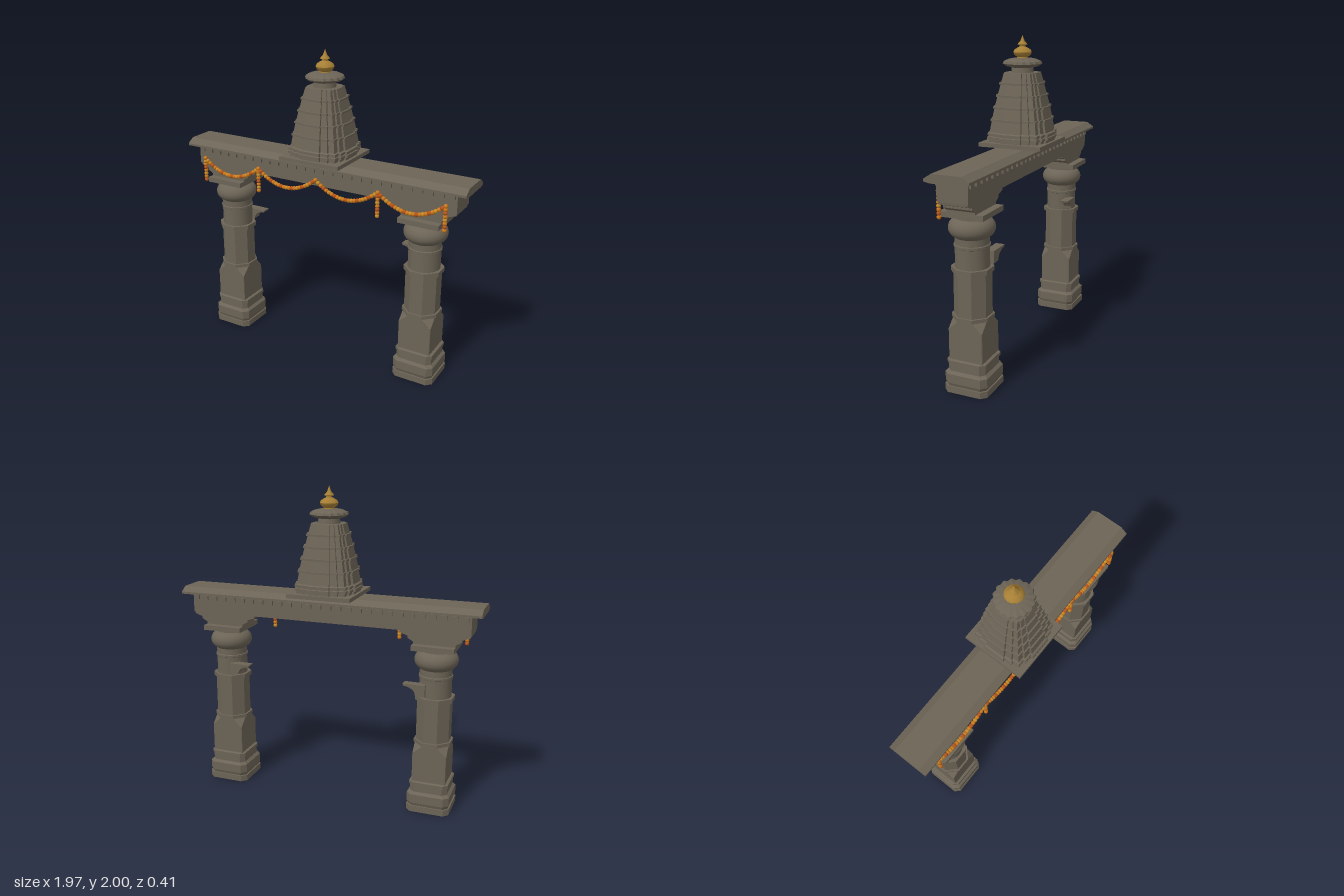
import * as THREE from 'three';
import { mergeGeometries, toCreasedNormals } from 'three/addons/utils/BufferGeometryUtils.js';

const mat = (name, color) => {
  const m = new THREE.MeshStandardMaterial({ color });
  m.name = name;
  return m;
};

// Stack of horizontal sections: each section is { y, pts: [[x, z], ...] }
function loft(sections) {
  const n = sections[0].pts.length, pos = [], idx = [];
  for (const s of sections) for (const [x, z] of s.pts) pos.push(x, s.y, z);
  for (let k = 0; k < sections.length - 1; k++)
    for (let i = 0; i < n; i++) {
      const a = k * n + i, b = k * n + (i + 1) % n;
      idx.push(a, a + n, b, b, a + n, b + n);
    }
  const top = (sections.length - 1) * n, c = pos.length / 3;
  pos.push(0, sections[0].y, 0, 0, sections.at(-1).y, 0);
  for (let i = 0; i < n; i++) {
    const j = (i + 1) % n;
    idx.push(c, i, j, c + 1, top + j, top + i);
  }
  const g = new THREE.BufferGeometry();
  g.setAttribute('position', new THREE.Float32BufferAttribute(pos, 3));
  g.setIndex(idx);
  const flat = g.toNonIndexed();
  flat.computeVertexNormals();
  return flat;
}

// Repeat one side of a plan four times about the centre
function fourSides(side, s) {
  const out = [];
  for (let k = 0; k < 4; k++)
    for (let [x, z] of side) {
      for (let r = 0; r < k; r++) [x, z] = [-z, x];
      out.push([x * s, z * s]);
    }
  return out;
}
const chamfered = (h, c) => fourSides([[h, c - h], [h, h - c]], 1);
const octagon = (h) => chamfered(h, h * 0.586);

const lathe = (pts, seg = 32) => toCreasedNormals(
  new THREE.LatheGeometry(pts.map(([r, y]) => new THREE.Vector2(r, y)), seg), 0.7);

// Closed outline in x, y extruded from z0 to z1
function prism(pts, z0, z1) {
  const shape = new THREE.Shape(pts.map(([x, y]) => new THREE.Vector2(x, y)));
  return new THREE.ExtrudeGeometry(shape, { depth: z1 - z0, bevelEnabled: false }).translate(0, 0, z0);
}

export function createModel() {
  const stone = mat('stone', 0x6c6456);
  const gold = mat('gold', 0xa67f35);
  const flowers = [mat('orange flowers', 0xd07818), mat('yellow flowers', 0xc88a28), mat('rust flowers', 0xb9541c)];
  const model = new THREE.Group();
  model.name = 'templeGateway';
  const add = (parent, name, geo, m = stone) => {
    const mesh = new THREE.Mesh(geo, m);
    mesh.name = name;
    parent.add(mesh);
    return mesh;
  };
  const box = (w, h, d, x, y, z) => new THREE.BoxGeometry(w, h, d).translate(x, y, z);

  // Pillars
  for (const side of [-1, 1]) {
    const p = new THREE.Group();
    p.name = side > 0 ? 'leftPillar' : 'rightPillar';
    p.position.x = side * 0.7;
    model.add(p);
    add(p, 'pedestal', loft([
      [0, 0.137], [0.04, 0.137], [0.04, 0.128], [0.06, 0.135], [0.115, 0.135],
      [0.13, 0.118], [0.175, 0.118], [0.175, 0.124], [0.195, 0.124], [0.2, 0.112],
    ].map(([y, h]) => ({ y, pts: chamfered(h, h * 0.23) }))));
    // Square block broaching into an octagon
    add(p, 'lowerShaft', loft([
      { y: 0.19, pts: chamfered(0.107, 0.003) },
      { y: 0.385, pts: chamfered(0.107, 0.003) },
      { y: 0.44, pts: octagon(0.107) },
    ]));
    add(p, 'octagonalShaft', loft([
      [0.44, 0.115], [0.462, 0.115], [0.462, 0.103], [0.72, 0.103], [0.72, 0.115], [0.748, 0.115],
    ].map(([y, h]) => ({ y, pts: octagon(h) }))));
    add(p, 'roundShaft', lathe([
      [0.1, 0.745], [0.1, 0.865], [0.105, 0.868], [0.105, 0.882], [0.1, 0.885], [0.1, 0.925],
    ]));
    const cushion = [[0.095, 0.92]];
    for (let i = 0; i <= 12; i++) {
      const a = -1.1 + 2.2 * i / 12;
      cushion.push([0.08 + 0.055 * Math.cos(a), 0.978 + 0.056 * Math.sin(a)]);
    }
    cushion.push([0.095, 1.035], [0.095, 1.06]);
    add(p, 'cushionCapital', lathe(cushion));
    add(p, 'abacus', box(0.26, 0.032, 0.27, 0, 1.07, 0));
    // Stepped corbel under the lintel
    const half = [[0.13, 1.085], [0.13, 1.1], [0.165, 1.12], [0.165, 1.133], [0.215, 1.15], [0.22, 1.2]];
    add(p, 'corbel', prism([...half, ...half.map(([x, y]) => [-x, y]).reverse()], -0.088, 0.088));
    // Small ledge on the inner face
    const ledge = [[0.04, 0.76], [0.1, 0.765]];
    for (let i = 1; i <= 6; i++) {
      const a = i / 6 * Math.PI / 2;
      ledge.push([0.1 + 0.075 * (1 - Math.cos(a)), 0.765 + 0.057 * Math.sin(a)]);
    }
    ledge.push([0.18, 0.835], [0.04, 0.835]);
    const bracket = add(p, 'sideBracket', prism(
      side < 0 ? ledge : ledge.map(([x, y]) => [-x, y]).reverse(), -0.115, -0.06));
    bracket.position.z = 0;
  }

  // Lintel, dentils and cornice
  add(model, 'lintel', box(1.84, 0.125, 0.19, 0, 1.2275, 0));
  const dentils = [];
  for (let i = 0; i < 28; i++)
    for (const z of [-0.1, 0.1]) dentils.push(box(0.033, 0.028, 0.016, (i - 13.5) * 0.066, 1.264, z));
  add(model, 'dentils', mergeGeometries(dentils));
  add(model, 'cornice', prism([
    [-0.1, 1.278], [0.1, 1.278], [0.135, 1.286], [0.135, 1.3], [0.09, 1.33],
    [-0.09, 1.33], [-0.135, 1.3], [-0.135, 1.286],
  ], -0.983, 0.983).rotateY(Math.PI / 2));

  // Tower with projecting centre bays
  const spire = new THREE.Group();
  spire.name = 'spire';
  model.add(spire);
  const baySide = [[0.84, -0.84], [0.84, -0.62], [0.92, -0.62], [0.92, -0.36], [1, -0.36],
    [1, 0.36], [0.92, 0.36], [0.92, 0.62], [0.84, 0.62]];
  const stack = (rows) => loft(rows.map(([y, s]) => ({ y, pts: fourSides(baySide, s) })));
  add(spire, 'baseSlab', box(0.412, 0.025, 0.412, 0, 1.3425, 0));
  add(spire, 'baseMouldings', stack([
    [1.355, 0.188], [1.372, 0.188], [1.372, 0.197], [1.387, 0.197], [1.39, 0.19], [1.397, 0.19],
    [1.397, 0.196], [1.41, 0.196], [1.415, 0.183],
  ]));
  const profile = [[1.41, 0.184], [1.49, 0.17], [1.565, 0.155], [1.637, 0.138], [1.71, 0.12], [1.775, 0.103]];
  add(spire, 'towerBody', stack(profile));
  for (const [y, s] of profile.slice(1, 5))
    add(spire, 'towerBand', stack([[y - 0.006, s + 0.009], [y + 0.006, s + 0.009]]));

  // Ribbed disc
  add(spire, 'neck', lathe([[0.07, 1.77], [0.065, 1.815]]));
  const disc = new THREE.LatheGeometry([
    [0, 1.803], [0.06, 1.803], [0.1, 1.814], [0.117, 1.828], [0.112, 1.842], [0.085, 1.855], [0.05, 1.862], [0, 1.864],
  ].map(([r, y]) => new THREE.Vector2(r, y)), 96);
  const pos = disc.attributes.position;
  for (let i = 0; i < pos.count; i++) {
    const x = pos.getX(i), z = pos.getZ(i);
    const k = 1 + 0.04 * Math.cos(16 * Math.atan2(z, x));
    pos.setX(i, x * k);
    pos.setZ(i, z * k);
  }
  add(spire, 'ribbedDisc', toCreasedNormals(disc, 0.7));

  // Golden pot finial
  add(spire, 'finial', lathe([
    [0, 1.858], [0.036, 1.858], [0.034, 1.868], [0.05, 1.88], [0.057, 1.897], [0.05, 1.912], [0.03, 1.924],
    [0.018, 1.93], [0.018, 1.937], [0.03, 1.942], [0.026, 1.95], [0.014, 1.962], [0.007, 1.98], [0, 2],
  ], 24), gold);

  // Flower garland: four swags and four hanging strings
  const beads = [[], [], []];
  let count = 0;
  const bead = (x, y) => beads[[0, 1, 0, 2][count++ % 4]].push(
    new THREE.SphereGeometry(0.0135, 10, 7).translate(x, y, 0.118));
  const span = 0.43;
  for (let s = -2; s < 2; s++)
    for (let i = 0; i < 22; i++) {
      const u = i / 11 - 1;
      bead((s + i / 22) * span, 1.21 - 0.09 * (1 - u * u));
    }
  bead(2 * span, 1.21);
  for (const k of [-2, -1, 1, 2])
    for (let i = 1; i <= 7; i++) bead(k * span, 1.21 - i * 0.0213);
  const garland = new THREE.Group();
  garland.name = 'garland';
  model.add(garland);
  beads.forEach((list, i) => add(garland, 'garlandFlowers', mergeGeometries(list), flowers[i]));

  return model;
}
